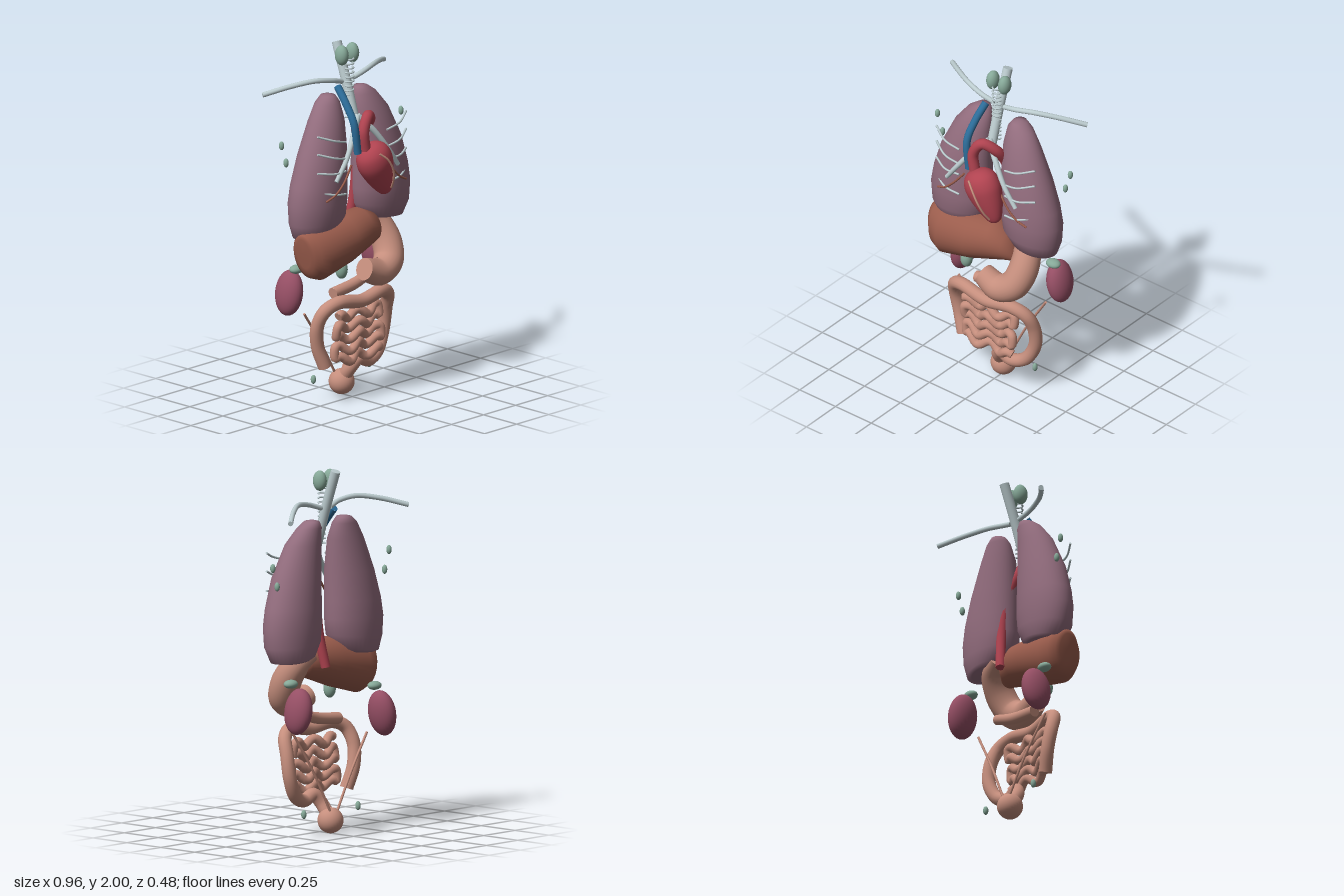
import * as THREE from 'three';
import { mergeGeometries } from 'three/addons/utils/BufferGeometryUtils.js';

const mat = (name, color) => {
  const m = new THREE.MeshStandardMaterial({ color });
  m.name = name;
  return m;
};
const V = (p) => new THREE.Vector3(...p);
const Z = new THREE.Vector3(0, 0, 1);

// capped tube through points; radius is a number or a list spread along the path
function tubeGeometry(points, radius, segs = 40, sides = 14) {
  const curve = new THREE.CatmullRomCurve3(points.map(V));
  const radii = Array.isArray(radius) ? radius : [radius, radius];
  const rAt = (t) => {
    const f = t * (radii.length - 1), i = Math.min(Math.floor(f), radii.length - 2);
    return THREE.MathUtils.lerp(radii[i], radii[i + 1], f - i);
  };
  const geo = new THREE.TubeGeometry(curve, segs, 1, sides);
  const pos = geo.attributes.position, v = new THREE.Vector3();
  for (let i = 0; i <= segs; i++) {
    const c = curve.getPointAt(i / segs);
    for (let j = 0; j <= sides; j++) {
      const k = i * (sides + 1) + j;
      v.fromBufferAttribute(pos, k).sub(c).multiplyScalar(rAt(i / segs)).add(c);
      pos.setXYZ(k, v.x, v.y, v.z);
    }
  }
  const caps = [0, 1].map((t) => {
    const dir = curve.getTangentAt(t).multiplyScalar(t ? 1 : -1);
    const cap = new THREE.CircleGeometry(rAt(t), sides);
    cap.applyQuaternion(new THREE.Quaternion().setFromUnitVectors(Z, dir));
    const c = curve.getPointAt(t);
    return cap.translate(c.x, c.y, c.z);
  });
  return mergeGeometries([geo, ...caps]);
}

// smooth closed loft of elliptical rings [y, cx, rx, cz, rz, tilt]
function loftGeometry(rings, sides = 36) {
  const pos = [], idx = [];
  for (const [y, cx, rx, cz, rz, tilt = 0] of rings) {
    for (let j = 0; j < sides; j++) {
      const a = (j / sides) * Math.PI * 2;
      pos.push(cx + rx * Math.cos(a), y + tilt * Math.cos(a), cz + rz * Math.sin(a));
    }
  }
  for (let i = 0; i < rings.length - 1; i++) {
    for (let j = 0; j < sides; j++) {
      const n = (j + 1) % sides, a = i * sides, b = a + sides;
      idx.push(a + j, b + j, a + n, b + j, b + n, a + n);
    }
  }
  [0, rings.length - 1].forEach((i, end) => {
    const s = i * sides, c = pos.length / 3;
    pos.push(rings[i][1], rings[i][0], rings[i][3]);
    for (let j = 0; j < sides; j++) {
      const n = (j + 1) % sides;
      if (end) idx.push(c, s + n, s + j);
      else idx.push(c, s + j, s + n);
    }
  });
  const geo = new THREE.BufferGeometry();
  geo.setAttribute('position', new THREE.Float32BufferAttribute(pos, 3));
  geo.setIndex(idx);
  geo.computeVertexNormals();
  return geo;
}

export function createModel() {
  const group = new THREE.Group();
  const airway = mat('pale cartilage', 0xbccccf), lungPink = mat('lung mauve', 0x936d7e);
  const red = mat('artery red', 0xb04350), blue = mat('vein blue', 0x2c6c98);
  const brown = mat('liver brown', 0x9a5c4c), tan = mat('gut tan', 0xc58e7d);
  const plum = mat('kidney plum', 0x964f65), green = mat('gland green', 0x86a898);

  const add = (name, geo, m) => {
    const mesh = new THREE.Mesh(geo, m);
    mesh.name = name;
    group.add(mesh);
    return mesh;
  };
  const tube = (name, m, r, pts, segs, sides) => add(name, tubeGeometry(pts, r, segs, sides), m);
  const blob = (name, m, p, s, tilt = 0) => {
    const mesh = add(name, new THREE.SphereGeometry(1, 28, 20), m);
    mesh.position.set(...p);
    mesh.scale.set(...s);
    mesh.rotation.z = tilt;
  };
  const side = (s, pts) => pts.map(([x, y, z]) => [s * x, y, z]);

  // windpipe with its front half rings
  tube('windpipe', airway, 0.027, [[0, 1.99, -0.118], [0, 1.78, -0.045], [0, 1.57, 0.02]], 12, 18);
  for (let i = 0; i < 14; i++) {
    const ring = add('windpipeRing', new THREE.TorusGeometry(0.026, 0.005, 8, 16, Math.PI), airway);
    ring.rotation.x = Math.PI / 2;
    ring.position.set(0, 1.91 - i * 0.025, -0.026);
  }

  // parts in left and right pairs
  for (const s of [1, -1]) {
    const w = s > 0 ? 'left' : 'right';
    add(w + 'Lung', loftGeometry([
      [0.968, 0.253, 0.1, -0.045, 0.075, -0.008], [0.982, 0.252, 0.142, -0.035, 0.105, -0.016],
      [1.06, 0.246, 0.18, -0.026, 0.128, -0.012],
      [1.16, 0.245, 0.189, -0.025, 0.133], [1.26, 0.236, 0.179, -0.024, 0.131],
      [1.42, 0.211, 0.154, -0.022, 0.119], [1.6, 0.17, 0.113, -0.033, 0.087],
      [1.69, 0.141, 0.076, -0.053, 0.061], [1.725, 0.128, 0.04, -0.06, 0.043], [1.731, 0.128, 0.015, -0.06, 0.015],
    ].map(([y, cx, rx, cz, rz, tilt = 0]) => [y, s * cx, rx, cz, rz, s * tilt])), lungPink);
    tube(w + 'Bronchus', airway, [0.018, 0.015, 0.012],
      side(s, [[0, 1.6, 0.04], [0.08, 1.51, 0.085], [0.16, 1.4, 0.112], [0.24, 1.29, 0.113]]));
    for (const [yIn, yOut] of [[1.5, 1.56], [1.405, 1.46], [1.335, 1.352], [1.205, 1.245]]) {
      tube(w + 'AirwayBranch', airway, 0.006,
        side(s, [[0.16, yIn, 0.107], [0.25, (yIn + yOut) / 2 - 0.005, 0.115], [0.345, yOut, 0.073]]), 14, 8);
    }
    tube(w + 'LungVein', brown, 0.006,
      side(s, [[0.12, 1.36, 0.11], [0.19, 1.275, 0.122], [0.25, 1.22, 0.118], [0.31, 1.19, 0.105]]), 16, 8);
    tube(w + 'Collarbone', airway, 0.014, side(s, [[0.035, 1.785, -0.045], [0.12, 1.81, -0.035],
      [0.23, 1.825, -0.06], [0.35, 1.805, -0.13], [0.472, 1.765, -0.22]]));
    blob(w + 'Thyroid', green, [s * 0.041, 1.935, -0.039], [0.034, 0.056, 0.041]);
    for (const [x, y] of [[0.465, 1.505], [0.43, 1.4], [0.217, 0.127]]) {
      blob(w + 'LymphNode', green, [s * x, y, -0.083], [0.014, 0.025, 0.015]);
    }
    const ky = s > 0 ? 0.712 : 0.63;
    blob(w + 'Kidney', plum, [s * 0.335, ky, -0.152], [0.062, 0.127, 0.087], s * 0.17);
    blob(w + 'Adrenal', green, [s * 0.335, ky + 0.145, -0.096], [0.044, 0.024, 0.034]);
    tube(w + 'Ureter', tan, 0.007,
      side(s, [[0.305, ky - 0.11, -0.067], [0.15, ky / 2, -0.09], [0.015, 0.1, -0.105]]), 16, 8);
  }

  // heart, tilted towards its tip
  const heart = add('heart', new THREE.LatheGeometry(new THREE.SplineCurve([
    [0, 0], [0.036, 0.015], [0.07, 0.08], [0.098, 0.165], [0.107, 0.225], [0.093, 0.28], [0.053, 0.315], [0, 0.326],
  ].map(([r, y]) => new THREE.Vector2(r, y))).getPoints(28).map((p) => p.setX(Math.max(p.x, 0))), 36), red);
  heart.position.set(0.126, 1.16, 0.138);
  heart.rotation.z = 0.437;
  heart.scale.z = 0.85;
  tube('coronaryVessel', tan, 0.006,
    [[-0.005, 1.42, 0.215], [0.035, 1.385, 0.235], [0.075, 1.32, 0.238], [0.1, 1.25, 0.215], [0.115, 1.2, 0.185]], 24, 8);

  // great vessels
  tube('aorta', red, [0.03, 0.03, 0.029, 0.028, 0.026], [[-0.03, 1.43, 0.13], [-0.042, 1.54, 0.128], [0.005, 1.613, 0.112],
    [0.065, 1.575, 0.07], [0.08, 1.47, 0], [0.092, 1.3, -0.05], [0.087, 1.1, -0.075], [0.06, 0.92, -0.1]], 70, 18);
  tube('venaCava', blue, 0.021,
    [[-0.083, 1.77, -0.03], [-0.095, 1.69, 0.045], [-0.1, 1.59, 0.11], [-0.08, 1.42, 0.12]]);

  // liver, lofted from right to left; rings are [x, -y, height, z, depth, slant]
  const liver = add('liver', loftGeometry([
    [-0.395, -0.895, 0.085, 0.015, 0.05, 0.016], [-0.388, -0.892, 0.112, 0.015, 0.075, 0.018],
    [-0.36, -0.885, 0.135, 0.015, 0.108, 0.012], [-0.295, -0.883, 0.152, 0.018, 0.13],
    [-0.1, -0.922, 0.138, 0.02, 0.134], [0.03, -0.95, 0.12, 0.02, 0.115],
    [0.12, -0.945, 0.085, 0.02, 0.085], [0.165, -0.9, 0.035, 0.02, 0.035],
  ]), brown);
  liver.rotation.z = -Math.PI / 2;
  blob('gallbladder', green, [-0.145, 0.765, 0.06], [0.034, 0.052, 0.034]);

  // digestive tract
  tube('stomach', tan, [0.05, 0.075, 0.083, 0.083, 0.077, 0.062], [[0.13, 1.0, -0.055], [0.205, 0.955, -0.03],
    [0.232, 0.85, 0.03], [0.2, 0.75, 0.08], [0.11, 0.706, 0.097], [0.0, 0.742, 0.092]], 50, 24);
  tube('pancreas', tan, [0.028, 0.032, 0.032], [[0.18, 0.668, -0.035], [0.05, 0.632, -0.02], [-0.135, 0.61, -0.015]], 24, 16);
  tube('largeIntestine', tan, 0.037, [[-0.215, 0.215, 0], [-0.255, 0.34, -0.015], [-0.27, 0.46, 0],
    [-0.245, 0.545, 0.035], [-0.17, 0.58, 0.06], [0, 0.56, 0.072], [0.17, 0.58, 0.06], [0.245, 0.54, 0.03],
    [0.27, 0.45, -0.008], [0.264, 0.32, -0.025], [0.205, 0.215, -0.012], [0.12, 0.184, 0.003], [0.05, 0.21, 0],
    [0.012, 0.165, -0.02], [0, 0.09, -0.07]], 140, 16);

  // small intestine: wavy rows running back and forth
  const gut = [];
  for (let row = 0; row < 5; row++) {
    for (let i = 0; i <= 16; i++) {
      const x = (row % 2 ? -1 : 1) * (i / 16 - 0.5) * 0.33;
      gut.push([x, 0.487 - row * 0.06 + 0.02 * Math.cos(x * 44), 0.042 + 0.012 * Math.sin(x * 30 + row)]);
    }
  }
  tube('smallIntestine', tan, 0.025, gut, 300, 12);
  blob('bladder', tan, [0, 0.071, -0.08], [0.071, 0.071, 0.071]);

  return group;
}
